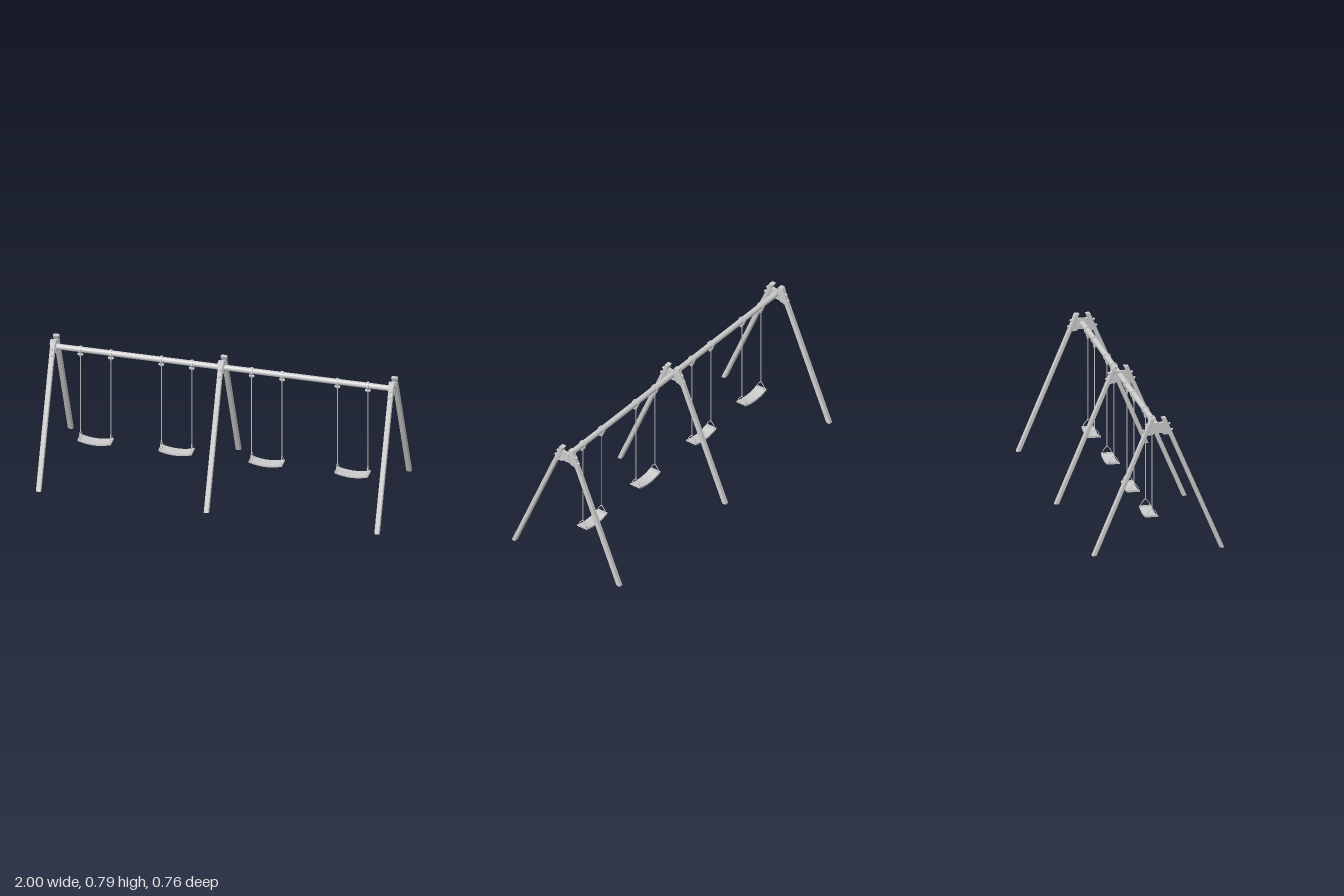
import * as THREE from 'three';

const grey = new THREE.MeshStandardMaterial({ color: 0xcccccc });
const SLOPE = 0.426; // how far a leg leans in z per unit of height
const BEAM_Y = 0.734;

function add(parent, name, geometry, x = 0, y = 0, z = 0) {
  const mesh = new THREE.Mesh(geometry, grey);
  mesh.name = name;
  mesh.position.set(x, y, z);
  parent.add(mesh);
  return mesh;
}

function group(parent, name, x = 0, y = 0, z = 0) {
  const g = new THREE.Group();
  g.name = name;
  g.position.set(x, y, z);
  parent.add(g);
  return g;
}

function polygon(points) {
  return new THREE.Shape(points.map(([x, y]) => new THREE.Vector2(x, y)));
}

// Cylinder lying along x
function rodX(radius, length, sides = 20) {
  return new THREE.CylinderGeometry(radius, radius, length, sides).rotateZ(Math.PI / 2);
}

// Chamfered post between two heights, sheared so it leans with horizontal cuts
function leaningPost(width, depth, y0, y1, side) {
  const w = width / 2, d = depth / 2, c = 0.004;
  const outline = polygon([[w - c, -d], [w, -d + c], [w, d - c], [w - c, d],
    [-w + c, d], [-w, d - c], [-w, -d + c], [-w + c, -d]]);
  const geo = new THREE.ExtrudeGeometry(outline, { depth: y1 - y0, bevelEnabled: false });
  geo.rotateX(-Math.PI / 2).translate(0, y0, 0);
  const p = geo.attributes.position;
  for (let i = 0; i < p.count; i++) {
    p.setZ(i, p.getZ(i) + side * (0.368 - SLOPE * p.getY(i)));
  }
  geo.computeVertexNormals();
  return geo;
}

// Plate in the z-y plane, centred on x = 0
function sidePlate(points, thickness) {
  const geo = new THREE.ExtrudeGeometry(polygon(points), { depth: thickness, bevelEnabled: false });
  return geo.translate(0, 0, -thickness / 2).rotateY(-Math.PI / 2);
}

function buildFrame(parent, x) {
  const frame = group(parent, 'aFrame', x);
  for (const side of [1, -1]) {
    add(frame, 'leg', leaningPost(0.029, 0.026, 0, 0.782, side));
    add(frame, 'legCap', leaningPost(0.035, 0.027, 0.77, 0.79, side));
    // Dome bolts on the outer face of the leg
    for (const y of [0.751, 0.716]) {
      const z = side * (0.381 - SLOPE * y);
      const bolt = group(frame, 'bolt', 0, y, z);
      add(bolt, 'boltHead', new THREE.SphereGeometry(0.0075, 16, 12), 0, 0, side * 0.005);
      add(bolt, 'boltShank', new THREE.CylinderGeometry(0.006, 0.006, 0.012, 16).rotateX(Math.PI / 2));
    }
    // Flange where the bracket meets the leg
    const flange = [[0.032, 0.762], [0.026, 0.762], [0.054, 0.69], [0.062, 0.69]];
    const pts = flange.map(([z, y]) => [side * z, y]);
    add(frame, 'bracketFlange', sidePlate(pts, 0.027));
  }
  // Trapezoid bracket with a notched lower edge and raised centre
  add(frame, 'bracketPlate', sidePlate([[-0.03, 0.762], [-0.06, 0.69], [-0.032, 0.69], [-0.027, 0.696],
    [-0.02, 0.699], [0.02, 0.699], [0.027, 0.696], [0.032, 0.69], [0.06, 0.69], [0.03, 0.762]], 0.014));
  add(frame, 'bracketBoss', sidePlate([[-0.012, 0.755], [-0.028, 0.707], [0.028, 0.707], [0.012, 0.755]], 0.024));
}

// Collar around the beam with a pivot block and eye below
function buildHanger(parent, x) {
  const hanger = group(parent, 'hanger', x);
  add(hanger, 'collar', rodX(0.022, 0.013, 28), 0, BEAM_Y);
  add(hanger, 'collarNeck', new THREE.BoxGeometry(0.012, 0.02, 0.018), 0, 0.712);
  add(hanger, 'pivotPin', rodX(0.007, 0.03, 16), 0, 0.702);
  add(hanger, 'pivotBlock', new THREE.CylinderGeometry(0.011, 0.006, 0.016, 16), 0, 0.698);
  add(hanger, 'eye', new THREE.TorusGeometry(0.004, 0.002, 8, 16).rotateY(Math.PI / 2), 0, 0.689);
}

// Sagging seat slab, ends higher than the middle
function seatGeometry() {
  const half = 0.097;
  const geo = new THREE.BoxGeometry(half * 2, 0.01, 0.068, 20, 1, 1);
  const p = geo.attributes.position;
  for (let i = 0; i < p.count; i++) {
    const t = p.getX(i) / half;
    p.setY(i, p.getY(i) + 0.146 + 0.016 * t * t);
  }
  geo.computeVertexNormals();
  return geo;
}

function buildSwing(parent, x) {
  const swing = group(parent, 'swing', x);
  add(swing, 'seat', seatGeometry());
  for (const side of [1, -1]) {
    const sx = side * 0.0885;
    buildHanger(swing, sx);
    add(swing, 'rope', new THREE.CylinderGeometry(0.0026, 0.0026, 0.482, 10), sx, 0.446);
    add(swing, 'ropeJoint', new THREE.SphereGeometry(0.004, 12, 8), sx, 0.206);
    // Bent rod spreading from the rope to both edges of the seat
    const path = new THREE.CatmullRomCurve3([
      [-0.025, 0.162], [-0.024, 0.178], [-0.013, 0.194], [0, 0.206],
      [0.013, 0.194], [0.024, 0.178], [0.025, 0.162],
    ].map(([z, y]) => new THREE.Vector3(sx, y, z)));
    add(swing, 'seatHandle', new THREE.TubeGeometry(path, 36, 0.0024, 8));
    add(swing, 'seatEndBar', new THREE.BoxGeometry(0.012, 0.005, 0.058), sx, 0.1655);
  }
}

export function createModel() {
  const model = new THREE.Group();
  model.name = 'swingSet';
  add(model, 'topBeam', rodX(0.0165, 1.964, 28), 0, BEAM_Y);
  for (const x of [-0.9825, -0.008, 0.9825]) buildFrame(model, x);
  for (const x of [-0.745, -0.275, 0.249, 0.747]) buildSwing(model, x);
  return model;
}
